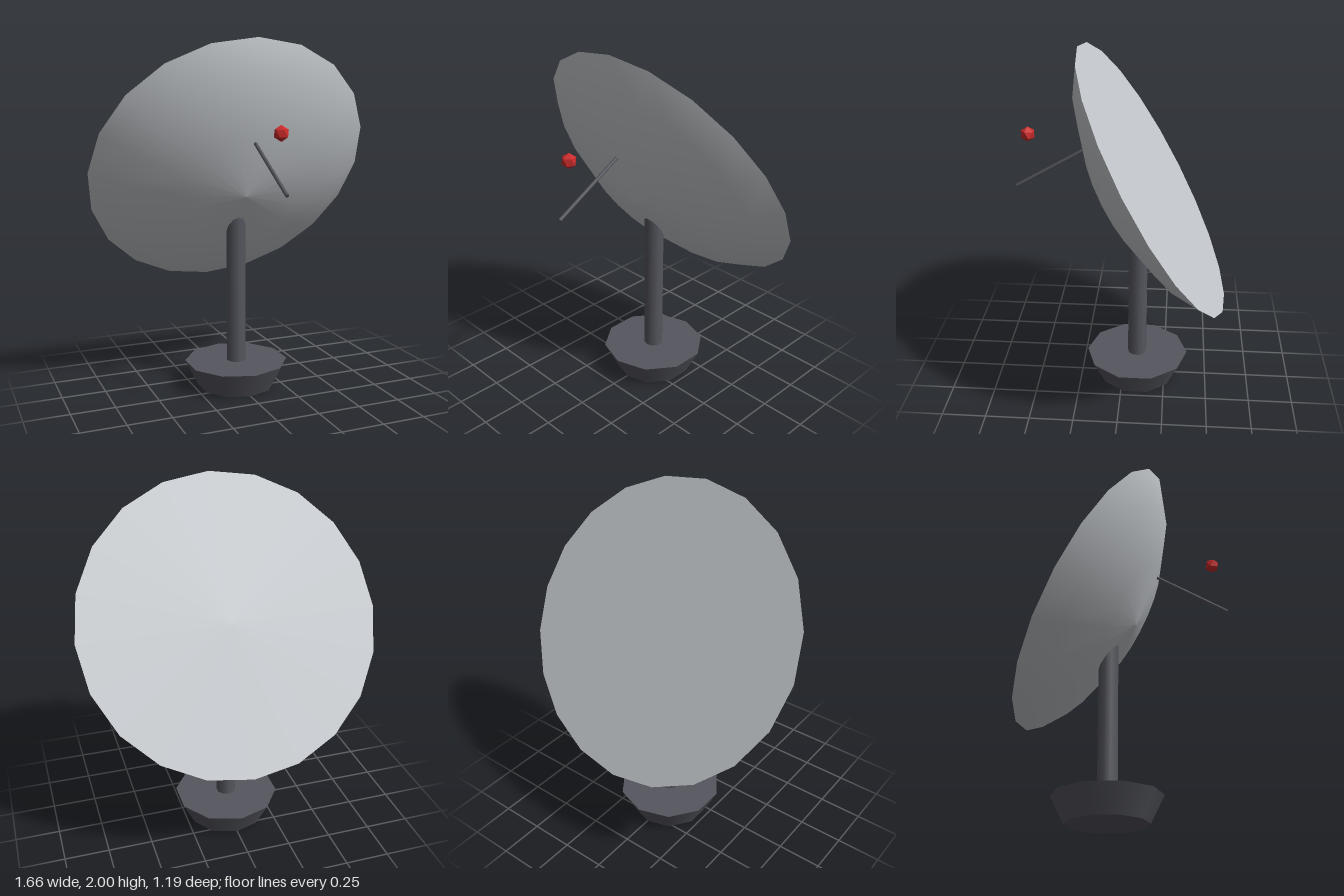
import * as THREE from 'three';

export function createModel() {
  const model = new THREE.Group();
  model.name = 'dishAntenna';

  const paint = (name, color) => {
    const m = new THREE.MeshStandardMaterial({ color });
    m.name = name;
    return m;
  };
  const lightGrey = paint('light grey', 0xc4c8cc);
  const darkGrey = paint('dark grey', 0x55565e);
  const red = paint('red', 0xcc2a2a);

  const add = (parent, name, geometry, material, x, y, z) => {
    const mesh = new THREE.Mesh(geometry, material);
    mesh.name = name;
    mesh.position.set(x, y, z);
    parent.add(mesh);
    return mesh;
  };

  // Flared foot and ten-sided mast
  const standZ = -0.085;
  add(model, 'base', new THREE.CylinderGeometry(0.3, 0.225, 0.15, 10), darkGrey, 0, 0.075, standZ);
  add(model, 'mast', new THREE.CylinderGeometry(0.055, 0.055, 1.0, 10), darkGrey, 0, 0.65, standZ);

  // Tilted head: local +y is the axis of the dish, towards its flat face
  const head = new THREE.Group();
  head.name = 'head';
  head.position.set(0, 1.283, -0.175);
  head.rotation.x = -Math.PI / 3;
  model.add(head);

  // Shallow bowl, bulging to the front, closed by a flat face
  const radius = 0.828;
  const profile = [[0, -0.284], [0.37, -0.235], [0.68, -0.109], [radius, 0]]
    .map(([r, y]) => new THREE.Vector2(r, y));
  add(head, 'dishBowl', new THREE.LatheGeometry(profile, 20), lightGrey, 0, 0, 0);
  const face = new THREE.CircleGeometry(radius, 20).rotateX(-Math.PI / 2);
  add(head, 'dishFace', face, lightGrey, 0, 0, 0);

  // Feed rod standing out of the bowl, and the faceted beacon above it
  add(head, 'feedRod', new THREE.CylinderGeometry(0.01, 0.01, 0.5, 6), darkGrey, 0, -0.45, 0.328);
  add(head, 'beacon', new THREE.IcosahedronGeometry(0.042, 0), red, 0, -0.483, 0.553);

  return model;
}
